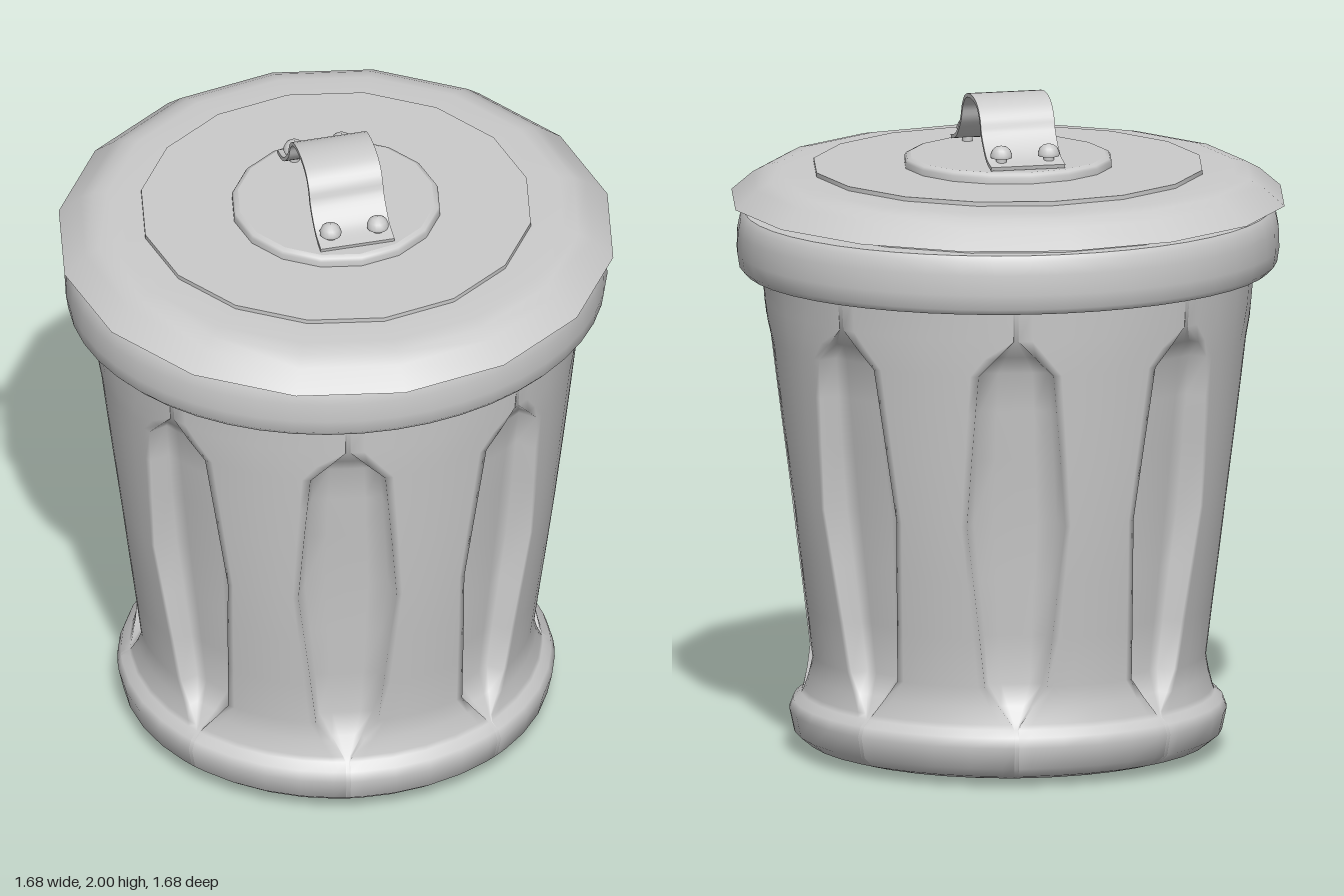
import * as THREE from 'three';
import { toCreasedNormals } from 'three/addons/utils/BufferGeometryUtils.js';

const material = new THREE.MeshStandardMaterial({ color: 0xcccccc });
const thin = new THREE.MeshStandardMaterial({ color: 0xcccccc, side: THREE.DoubleSide });
const rad = THREE.MathUtils.degToRad;

function part(name, geometry, mat = material) {
  const mesh = new THREE.Mesh(geometry, mat);
  mesh.name = name;
  return mesh;
}

// Turned part; a repeated profile point makes a sharp edge
function turned(name, profile, sides, mat) {
  return part(name, new THREE.LatheGeometry(profile.map(([r, y]) => new THREE.Vector2(r, y)), sides), mat);
}

// Linear interpolation in a list of [key, value] pairs
function lookUp(keys, y) {
  if (y <= keys[0][0]) return keys[0][1];
  for (let i = 1; i < keys.length; i++) {
    const [y0, v0] = keys[i - 1], [y1, v1] = keys[i];
    if (y <= y1) return v0 + (v1 - v0) * (y - y0) / (y1 - y0);
  }
  return keys[keys.length - 1][1];
}

// Tapered body with eight pressed-in grooves, slightly oval toward the top
function bodyGeometry() {
  const rows = [[0, 0], [0.45, 0.004], [0.55, 0.014], [0.605, 0.03], [0.642, 0.06], [0.656, 0.125],
    [0.645, 0.155], [0.62, 0.175], [0.614, 0.19], [0.603, 0.24], [0.598, 0.3], [0.618, 0.45],
    [0.642, 0.62], [0.667, 0.8], [0.69, 1.0], [0.707, 1.15], [0.72, 1.27], [0.727, 1.325],
    [0.732, 1.38], [0.74, 1.48]];
  const halfWidth = [[0.18, 0.6], [0.3, 9], [0.8, 12.8], [1.27, 9], [1.38, 0.6]];
  const depth = [[0.18, 0], [0.3, 0.06], [0.8, 0.08], [1.27, 0.065], [1.38, 0]];
  const positions = [], index = [];
  let columns = 0;

  rows.forEach(([r, y]) => {
    const w = lookUp(halfWidth, y), d = lookUp(depth, y);
    const zScale = 1 - 0.036 * THREE.MathUtils.clamp((y - 0.2) / 1.27, 0, 1);
    // Columns of one 45 degree sector: [angle, inset]
    const half = [[0, d], [0.5 * w, d], [0.95 * w, d * 0.95], [w, 0],
      [w + (22.5 - w) * 0.15, 0], [w + (22.5 - w) * 0.55, 0]];
    const sector = [[-22.5, 0], ...half.slice(1).reverse().map(([a, e]) => [-a, e]), ...half];
    columns = sector.length * 8;
    for (let s = 0; s < 8; s++) {
      for (const [a, inset] of sector) {
        const angle = rad(-11 + 45 * s + a);
        positions.push(Math.sin(angle) * (r - inset), y, Math.cos(angle) * (r - inset) * zScale);
      }
    }
  });
  for (let j = 0; j < rows.length - 1; j++) {
    for (let i = 0; i < columns; i++) {
      const n = (i + 1) % columns, a = j * columns, b = a + columns;
      index.push(a + i, a + n, b + n, a + i, b + n, b + i);
    }
  }
  const geometry = new THREE.BufferGeometry();
  geometry.setAttribute('position', new THREE.Float32BufferAttribute(positions, 3));
  geometry.setIndex(index);
  geometry.computeVertexNormals();
  return geometry;
}

// Bent strap: an arched profile thickened along its normals and extruded across
function handleGeometry(width, thickness) {
  const side = [[0.262, 1.822], [0.205, 1.836], [0.17, 1.86], [0.13, 1.905], [0.113, 1.945], [0.075, 1.98]];
  const path = [...side.map(([z, y]) => [-z, y]), [0, 1.994], ...side.slice().reverse()];
  const curve = new THREE.CatmullRomCurve3(path.map(([z, y]) => new THREE.Vector3(z, y, 0)));
  const outer = [], inner = [];
  for (let i = 0; i <= 40; i++) {
    const p = curve.getPoint(i / 40), t = curve.getTangent(i / 40), h = thickness / 2;
    outer.push(new THREE.Vector2(p.x - t.y * h, p.y + t.x * h));
    inner.unshift(new THREE.Vector2(p.x + t.y * h, p.y - t.x * h));
  }
  const geometry = new THREE.ExtrudeGeometry(new THREE.Shape([...outer, ...inner]),
    { depth: width, bevelEnabled: false });
  geometry.translate(0, 0, -width / 2).rotateY(Math.PI / 2);
  return toCreasedNormals(geometry, rad(40));
}

export function createModel() {
  const model = new THREE.Group();
  model.name = 'trashCan';

  model.add(part('body', bodyGeometry()));

  // Rolled oval rim around the mouth
  const rim = turned('rim', [[0.72, 1.468], [0.795, 1.468], [0.795, 1.468], [0.811, 1.485], [0.818, 1.53],
    [0.816, 1.59], [0.808, 1.63], [0.795, 1.648], [0.795, 1.648], [0.715, 1.648], [0.715, 1.648],
    [0.7, 1.46]], 48, thin);
  rim.scale.z = 0.92;
  model.add(rim);

  // Lid with a skirt that drops into the mouth
  const lid = new THREE.Group();
  lid.name = 'lid';
  lid.add(
    turned('lidSkirt', [[0, 1.6], [0.7, 1.6], [0.7, 1.6], [0.7, 1.685]], 16),
    turned('lidCover', [[0.69, 1.68], [0.84, 1.68], [0.84, 1.68], [0.775, 1.736], [0.735, 1.758],
      [0.69, 1.768], [0.58, 1.77], [0, 1.77]], 16, thin),
    turned('lidPanel', [[0.59, 1.765], [0.59, 1.783], [0.59, 1.783], [0, 1.783]], 16),
    turned('handlePlate', [[0.315, 1.78], [0.315, 1.8], [0.31, 1.809], [0.297, 1.815],
      [0.297, 1.815], [0, 1.815]], 16),
    part('handle', handleGeometry(0.228, 0.012))
  );

  // Four domed rivets holding the handle
  for (const x of [-0.073, 0.073]) {
    for (const z of [-0.22, 0.22]) {
      const rivet = new THREE.Group();
      rivet.name = 'rivet';
      rivet.add(
        turned('rivetHead', [[0, 0.036], [0.032, 0.036], [0.032, 0.036], [0.033, 0.045], [0.027, 0.06],
          [0.016, 0.069], [0, 0.073]], 16),
        turned('rivetStem', [[0.016, 0], [0.016, 0.04]], 12)
      );
      rivet.position.set(x, 1.812, z);
      lid.add(rivet);
    }
  }
  model.add(lid);
  return model;
}
